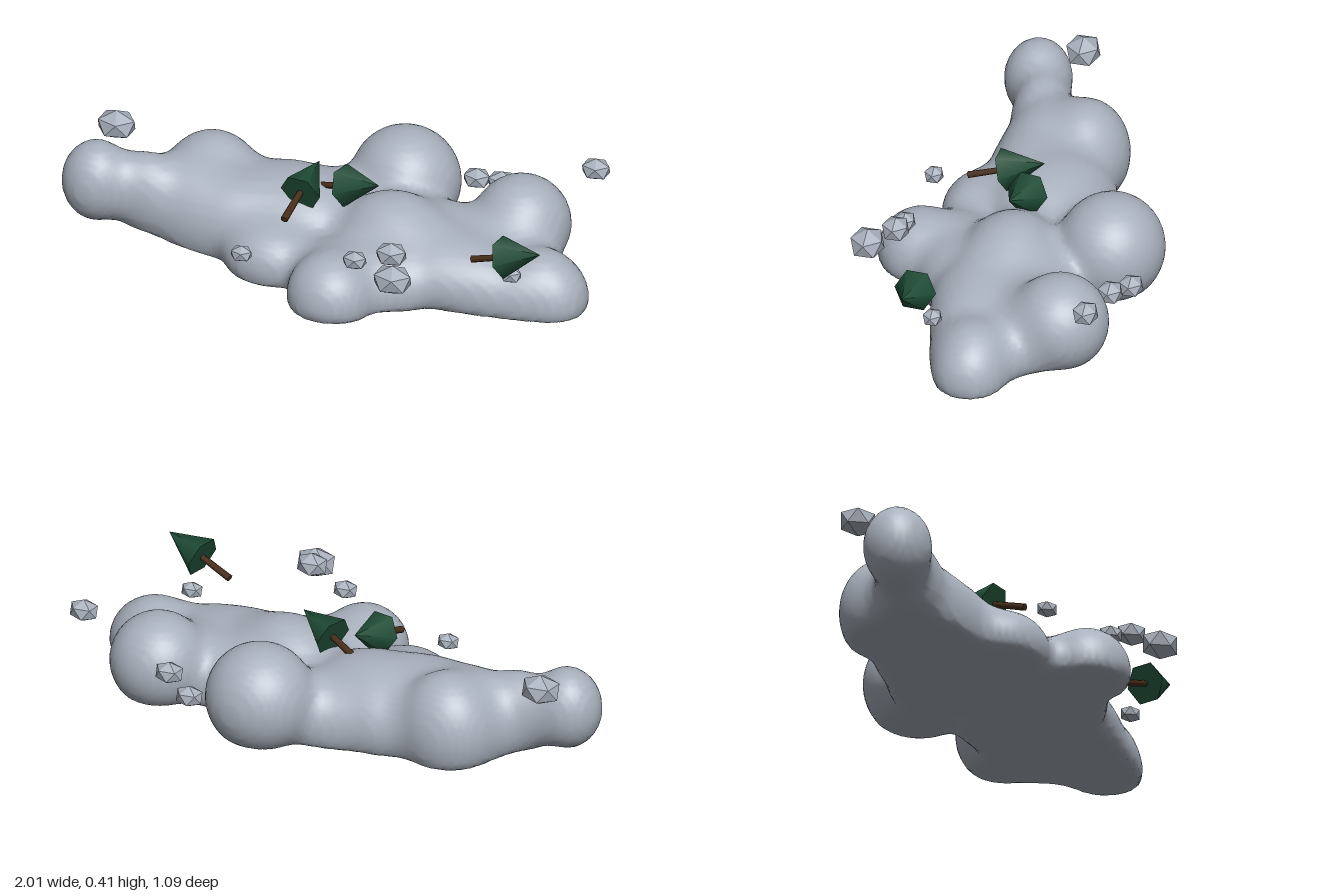
import * as THREE from 'three';

const stone = new THREE.MeshStandardMaterial({ name: 'stone grey', color: 0xa9b1bd });
const rockMat = new THREE.MeshStandardMaterial({ name: 'rock grey', color: 0xa9b1bd, flatShading: true });
const leaf = new THREE.MeshStandardMaterial({ name: 'pine green', color: 0x1f4d36 });
const bark = new THREE.MeshStandardMaterial({ name: 'bark brown', color: 0x4a2f1b });

// Island lobes: centre x, y, z and radii x, y, z
const lobes = [
  // left arm
  [-0.87, 0.21, 0.18, 0.13, 0.155, 0.125],
  [-0.70, 0.17, 0.12, 0.14, 0.155, 0.11],
  [-0.52, 0.14, -0.08, 0.19, 0.21, 0.17],
  [-0.55, 0.12, 0.05, 0.18, 0.19, 0.16],
  [-0.38, 0.1, 0.08, 0.25, 0.19, 0.16],
  // middle
  [-0.19, 0.1, -0.04, 0.32, 0.2, 0.24],
  [-0.15, 0.08, 0.22, 0.18, 0.13, 0.135],
  [0.25, 0.1, 0, 0.24, 0.215, 0.2],
  [0.45, 0.09, 0.04, 0.28, 0.16, 0.2],
  // back lobes and the low saddles around them
  [0.13, 0.18, -0.348, 0.205, 0.205, 0.198],
  [0.63, 0.155, -0.28, 0.182, 0.182, 0.18],
  [0.38, 0.08, -0.16, 0.2, 0.15, 0.13],
  [-0.04, 0.08, -0.2, 0.17, 0.15, 0.13],
  [0.6, 0.07, -0.13, 0.24, 0.16, 0.16],
  // right lobe
  [0.66, 0.06, 0.06, 0.22, 0.14, 0.13],
  [0.84, 0.06, -0.005, 0.145, 0.165, 0.145],
  [0.92, 0.04, 0, 0.085, 0.11, 0.1],
  // front lobe and its shoulders
  [0.16, 0.075, 0.36, 0.165, 0.16, 0.16],
  [0.17, 0.07, 0.22, 0.22, 0.14, 0.14],
  [0.32, 0.06, 0.2, 0.14, 0.13, 0.11],
];

const smoothMin = (a, b, k) => {
  const h = Math.max(k - Math.abs(a - b), 0) / k;
  return Math.min(a, b) - h * h * k / 4;
};

// Signed distance of the blended lobes, cut by a gently curved underside
function islandField(x, y, z) {
  let d = 1;
  for (const [cx, cy, cz, rx, ry, rz] of lobes) {
    const px = (x - cx) / rx, py = (y - cy) / ry, pz = (z - cz) / rz;
    const k0 = Math.hypot(px, py, pz);
    const k1 = Math.hypot(px / rx, py / ry, pz / rz) + 1e-6;
    d = smoothMin(d, k0 * (k0 - 1) / k1, 0.075);
  }
  const floor = 0.002 + 0.05 * Math.min(x, 0) ** 2 + 0.1 * z * z;
  return -smoothMin(-d, -(floor - y), 0.02);
}

// Surface mesh of a field, one vertex per grid cell that it crosses
function fieldGeometry(field, min, size, step) {
  const n = size.map(s => Math.ceil(s / step) + 1);
  const stride = [1, n[0], n[0] * n[1]];
  const at = (i, j, k) => i + j * stride[1] + k * stride[2];
  const values = new Float32Array(n[0] * n[1] * n[2]);
  const each = (end, fn) => {
    for (let k = 0; k < n[2] - end; k++)
      for (let j = 0; j < n[1] - end; j++)
        for (let i = 0; i < n[0] - end; i++) fn(i, j, k, at(i, j, k));
  };
  each(0, (i, j, k, p) => {
    values[p] = field(min[0] + i * step, min[1] + j * step, min[2] + k * step);
  });

  const positions = [], index = [], cellVertex = new Map();
  each(1, (i, j, k, p) => {
    const sum = [0, 0, 0];
    let count = 0;
    for (let c = 0; c < 8; c++) {
      const corner = [c & 1, (c >> 1) & 1, c >> 2];
      const v0 = values[p + at(...corner)];
      for (let a = 0; a < 3; a++) {
        if (corner[a]) continue;
        const v1 = values[p + at(...corner) + stride[a]];
        if ((v0 < 0) === (v1 < 0)) continue;
        const t = v0 / (v0 - v1);
        for (let b = 0; b < 3; b++) sum[b] += corner[b] + (a === b ? t : 0);
        count++;
      }
    }
    if (!count) return;
    cellVertex.set(p, positions.length / 3);
    [i, j, k].forEach((g, b) => positions.push(min[b] + (g + sum[b] / count) * step));
  });
  each(1, (i, j, k, p) => {
    for (let a = 0; a < 3; a++) {
      const inside = values[p] < 0;
      if (inside === (values[p + stride[a]] < 0)) continue;
      const b = stride[(a + 1) % 3], c = stride[(a + 2) % 3];
      const q = [p - b - c, p - c, p, p - b].map(cell => cellVertex.get(cell));
      if (!inside) q.reverse();
      index.push(q[0], q[1], q[2], q[0], q[2], q[3]);
    }
  });
  const geometry = new THREE.BufferGeometry();
  geometry.setAttribute('position', new THREE.Float32BufferAttribute(positions, 3));
  geometry.setIndex(index);
  geometry.computeVertexNormals();
  return geometry;
}

// Leaning pine: thin trunk and a six-sided cone along one axis
function pine(root, tip) {
  const tree = new THREE.Group();
  tree.name = 'pineTree';
  const from = new THREE.Vector3(...root);
  const axis = new THREE.Vector3(...tip).sub(from);
  const length = axis.length();
  const trunk = new THREE.Mesh(new THREE.CylinderGeometry(0.012, 0.014, 0.15, 6), bark);
  trunk.name = 'trunk';
  trunk.position.y = 0.075;
  const crown = new THREE.Mesh(new THREE.ConeGeometry(0.08, 0.165, 6), leaf);
  crown.name = 'crown';
  crown.position.y = length - 0.0825;
  crown.rotation.y = Math.PI / 6;
  tree.add(trunk, crown);
  tree.position.copy(from);
  tree.rotation.set(Math.acos(axis.y / length), Math.atan2(axis.x, axis.z), 0, 'YXZ');
  return tree;
}

export function createModel() {
  const model = new THREE.Group();
  model.name = 'floatingIsland';

  const island = new THREE.Mesh(
    fieldGeometry(islandField, [-1.06, -0.05, -0.62], [2.12, 0.52, 1.22], 0.02), stone);
  island.name = 'island';
  model.add(island);

  // Trees: root and tip
  [
    [[-0.085, 0.266, 0.245], [-0.078, 0.364, -0.045]],
    [[-0.09, 0.262, -0.04], [0.195, 0.36, 0.022]],
    [[0.66, 0.266, 0.215], [0.945, 0.364, 0.237]],
  ].forEach(([root, tip]) => model.add(pine(root, tip)));

  // Loose floating rocks: x, y, z, half width
  const rockGeometry = new THREE.IcosahedronGeometry(1, 0);
  rockGeometry.rotateZ(-Math.atan(2 / (1 + Math.sqrt(5))));
  [
    [-0.87, 0.355, 0.01, 0.075],
    [0.465, 0.274, 0.487, 0.075],
    [0.417, 0.32, 0.393, 0.06],
    [0.27, 0.26, 0.395, 0.047],
    [-0.185, 0.18, 0.4, 0.042],
    [0.79, 0.203, 0.16, 0.042],
    [0.355, 0.17, -0.48, 0.053],
    [0.478, 0.21, -0.432, 0.055],
    [0.857, 0.355, -0.434, 0.056],
  ].forEach(([x, y, z, r]) => {
    const rock = new THREE.Mesh(rockGeometry, rockMat);
    rock.name = 'rock';
    rock.position.set(x, y, z);
    rock.scale.set(r * 1.08, r * 0.77, r * 0.92);
    model.add(rock);
  });
  return model;
}
